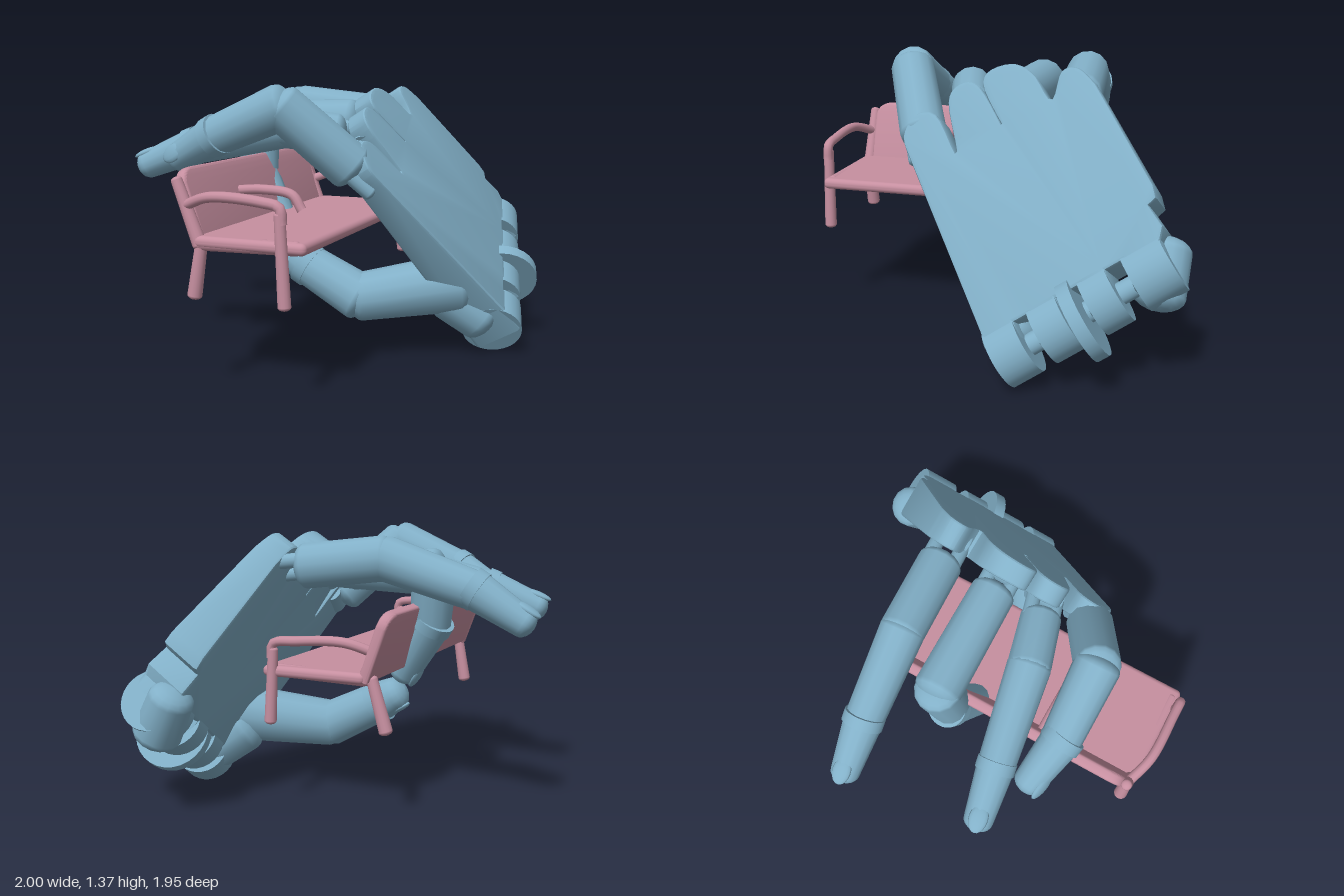
import * as THREE from 'three';
import { toCreasedNormals } from 'three/addons/utils/BufferGeometryUtils.js';
import { RoundedBoxGeometry } from 'three/addons/geometries/RoundedBoxGeometry.js';

const V = (x, y, z) => new THREE.Vector3(x, y, z);
const UP = V(0, 1, 0);
const blue = new THREE.MeshStandardMaterial({ color: 0x82b0c8 });
const pink = new THREE.MeshStandardMaterial({ color: 0xc68fa0 });
const NORMAL = V(0.852, 0.511, 0.111);   // outward direction of the back of the hand
const ACROSS = V(-0.21, 0.53, -0.82);    // from the index side to the little finger side

// Point on the slanted back of the hand, moved along its normal
function onPalm(z, y, offset = 0) {
  return V(1.03 - 0.6 * y - 0.13 * z, y, z).addScaledVector(NORMAL, offset);
}

function add(parent, name, geometry, material) {
  const mesh = new THREE.Mesh(geometry, material);
  mesh.name = name;
  parent.add(mesh);
  return mesh;
}

// Aligns a y-axis mesh from a towards b
function aim(mesh, a, b) {
  mesh.position.copy(a);
  mesh.quaternion.setFromUnitVectors(UP, b.clone().sub(a).normalize());
  return mesh;
}

// Tapered segment with domed ends whose centres are a and b
function segment(parent, name, a, b, ra, rb, material, dome = 0.6) {
  const length = a.distanceTo(b), points = [];
  for (let i = 0; i <= 5; i++) {
    const t = (i / 5) * Math.PI / 2;
    points.push(new THREE.Vector2(ra * Math.sin(t), -ra * dome * Math.cos(t)));
  }
  for (let i = 0; i <= 5; i++) {
    const t = (i / 5) * Math.PI / 2;
    points.push(new THREE.Vector2(rb * Math.cos(t), length + rb * dome * Math.sin(t)));
  }
  return aim(add(parent, name, new THREE.LatheGeometry(points, 14), material), a, b);
}

// Straight cylinder between two points
function rod(parent, name, a, b, r, material) {
  const geometry = new THREE.CylinderGeometry(r, r, a.distanceTo(b), 28);
  geometry.translate(0, a.distanceTo(b) / 2, 0);
  return aim(add(parent, name, geometry, material), a, b);
}

// Finger from a chain of joints, with a collar and a nail; a fork at the base holds the knuckle
function finger(parent, name, joints, radii, fork) {
  const group = new THREE.Group();
  group.name = name;
  parent.add(group);
  const p = joints.map(j => V(...j)), last = p.length - 1;
  if (fork) {
    const root = p[0].clone();
    p[0].addScaledVector(p[1].clone().sub(root).normalize(), 0.13);
    for (const side of [-1, 1]) {
      const shift = ACROSS.clone().multiplyScalar(side * 0.065);
      segment(group, 'forkProng', root.clone().add(shift), p[0].clone().add(shift), 0.036, 0.036, blue);
    }
  }
  for (let i = 0; i < last; i++) {
    const dome = i === last - 1 ? 0.75 : 0.5;
    segment(group, 'phalanx', p[i], p[i + 1], radii[i], radii[i + 1], blue, dome);
  }
  const prev = p[last - 1].clone().sub(p[last - 2]).normalize();
  const dir = p[last].clone().sub(p[last - 1]).normalize();
  const out = prev.clone().sub(dir);
  out.addScaledVector(dir, -out.dot(dir)).normalize();
  const joint = p[last - 1], r = radii[last - 1];
  rod(group, 'collar', joint.clone().addScaledVector(dir, -0.05), joint.clone().addScaledVector(dir, 0.005), r * 1.06, blue);
  const nail = add(group, 'nail', new THREE.SphereGeometry(1, 14, 10), blue);
  nail.quaternion.setFromRotationMatrix(new THREE.Matrix4().makeBasis(dir.clone().cross(out), dir, out));
  nail.scale.set(0.045, 0.07, 0.018);
  nail.position.copy(p[last]).addScaledVector(out, radii[last] * 0.86).addScaledVector(dir, -0.02);
}

function buildPalm(hand) {
  // Heel edge: distance along it and distance into the palm give z, y
  const heel = (s, inset) => [-0.24 - 0.84 * s + 0.54 * inset, 0.03 + 0.54 * s + 0.84 * inset];
  const lugs = [[0, 0.15], [0.22, 0.36], [0.47, 0.6], [0.68, 0.86]];
  const knuckles = [
    [0.38, 0.87], [0.44, 0.97], [0.39, 1.07], [0.28, 1.07], [0.15, 0.92],
    [0.23, 1.12], [0.21, 1.2], [0.13, 1.23], [0.05, 1.18], [-0.07, 1.04],
    [0.06, 1.2], [0.05, 1.28], [-0.07, 1.32], [-0.18, 1.28], [-0.28, 1.18],
    [-0.31, 1.3], [-0.39, 1.32], [-0.48, 1.26],
  ];
  const toShape = ([z, y]) => new THREE.Vector2(-z, y);

  // Outline runs over the knuckles, down the outer side and back along the toothed heel
  const outline = new THREE.SplineCurve(knuckles.map(toShape)).getPoints(70);
  for (const q of [[-0.79, 0.88], [-0.81, 0.83], [-0.78, 0.8], [-0.85, 0.73]]) outline.push(toShape(q));
  for (const [s0, s1] of [...lugs].reverse()) {
    outline.push(toShape(heel(s1, 0.22)), toShape(heel(s1, 0.1)), toShape(heel(s0, 0.1)), toShape(heel(s0, 0.22)));
  }
  outline.pop();
  let geometry = new THREE.ExtrudeGeometry(new THREE.Shape(outline.reverse()), {
    depth: 0.84, bevelThickness: 0.08, bevelSize: 0.015, bevelOffset: -0.015, bevelSegments: 2,
  });
  // Lay the slab on the slanted plane, thicker towards the heel
  const pos = geometry.attributes.position;
  for (let i = 0; i < pos.count; i++) {
    const z = -pos.getX(i), y = pos.getY(i);
    const along = (y * 0.84 + z * 0.54 + 0.13) / 1.17;
    const p = onPalm(z, y, (pos.getZ(i) - 0.92) * (0.29 - 0.17 * along));
    pos.setXYZ(i, p.x, p.y, p.z);
  }
  geometry = toCreasedNormals(geometry, 0.6);
  add(hand, 'palm', geometry, blue);

  // Rounded wrist hinge lugs, the pin through them and the large hinge disc
  const at = (s, inset, offset) => onPalm(...heel(s, inset), offset);
  for (const [s0, s1] of lugs) rod(hand, 'wristLug', at(s0, 0.16, -0.13), at(s1, 0.16, -0.13), 0.15, blue);
  rod(hand, 'wristPin', at(0.05, 0.14, -0.12), at(0.78, 0.14, -0.12), 0.05, blue);
  rod(hand, 'hingeDisc', at(0.385, 0.12, -0.1), at(0.445, 0.12, -0.1), 0.19, blue);

  // Padding under the outer corner of the heel
  segment(hand, 'heelPad', onPalm(-0.84, 0.67, -0.2), onPalm(-0.82, 0.5, -0.2), 0.11, 0.12, blue);
}

function buildHand() {
  const hand = new THREE.Group();
  hand.name = 'hand';
  buildPalm(hand);
  finger(hand, 'indexFinger', [[0.36, 0.88, 0.33], [0.0, 1.24, 0.53], [-0.36, 1.09, 0.54], [-0.56, 0.99, 0.5]], [0.115, 0.11, 0.095, 0.075], true);
  finger(hand, 'middleFinger', [[0.25, 1.08, 0.14], [-0.12, 1.13, 0.25], [-0.6, 1.02, 0.34], [-0.82, 0.93, 0.38]], [0.1, 0.105, 0.088, 0.07], true);
  finger(hand, 'ringFinger', [[0.24, 1.15, -0.08], [-0.42, 1.13, -0.06], [-0.39, 0.86, -0.02], [-0.23, 0.61, 0.04]], [0.11, 0.115, 0.1, 0.08], true);
  finger(hand, 'littleFinger', [[0.24, 1.15, -0.38], [-0.28, 1.21, -0.33], [-0.72, 1.07, -0.29], [-0.93, 0.94, -0.27]], [0.11, 0.108, 0.092, 0.07], true);
  finger(hand, 'thumb', [[0.66, 0.34, -0.12], [0.22, 0.275, 0.1], [-0.08, 0.43, 0.1], [-0.15, 0.47, 0.1]], [0.15, 0.122, 0.105, 0.09], false);
  segment(hand, 'thumbMount', V(0.77, 0.16, -0.2), V(0.63, 0.27, -0.15), 0.13, 0.14, blue);

  // Knuckle barrels in the gaps under the back of the hand
  for (const [z, y] of [[0.33, 0.98], [0.14, 1.13], [-0.07, 1.21], [-0.38, 1.21]]) {
    const c = onPalm(z, y, -0.09), w = ACROSS.clone().multiplyScalar(0.08);
    rod(hand, 'knucklePin', c.clone().sub(w), c.clone().add(w), 0.06, blue);
  }
  return hand;
}

function buildBench() {
  const bench = new THREE.Group();
  bench.name = 'bench';
  const seat = add(bench, 'seat', new RoundedBoxGeometry(0.54, 0.055, 1.44, 3, 0.025), pink);
  seat.position.set(0.02, 0.665, 0.21);

  // Slanted backrest with rounded upper corners
  const back = new THREE.Shape();
  back.moveTo(-0.69, 0);
  back.lineTo(0.69, 0);
  back.lineTo(0.69, 0.27);
  back.quadraticCurveTo(0.68, 0.34, 0.6, 0.345);
  back.lineTo(-0.6, 0.345);
  back.quadraticCurveTo(-0.68, 0.34, -0.69, 0.27);
  const backGeometry = new THREE.ExtrudeGeometry(back, {
    depth: 0.025, bevelThickness: 0.015, bevelSize: 0.015, bevelOffset: -0.015, bevelSegments: 3,
  });
  backGeometry.rotateY(Math.PI / 2);
  const backrest = add(bench, 'backrest', toCreasedNormals(backGeometry, 0.7), pink);
  backrest.position.set(-0.25, 0.645, 0.19);
  backrest.rotation.z = 0.34;

  const armrest = points => add(bench, 'armrest',
    new THREE.TubeGeometry(new THREE.CatmullRomCurve3(points), 24, 0.024, 10), pink);

  // Each end: legs, back post, armrest and seat rail
  for (const [z, shift, top] of [[0.94, 0, 0.87], [-0.5, 0.05, 0.83]]) {
    const inner = z - Math.sign(z) * 0.045;
    segment(bench, 'frontLeg', V(0.2 + shift, 0.42, z), V(0.18 + shift, top - 0.06, z), 0.03, 0.025, pink);
    segment(bench, 'backLeg', V(-0.26 - shift * 1.6, 0.42, inner), V(-0.22 - shift, 0.66, inner), 0.034, 0.028, pink);
    segment(bench, 'backPost', V(-0.23, 0.65, inner), V(-0.34, 0.93, inner), 0.033, 0.026, pink);
    segment(bench, 'seatRail', V(-0.23, 0.655, inner), V(0.24, 0.665, inner), 0.032, 0.032, pink);
    armrest([
      V(-0.3, top - 0.05, inner), V(-0.15, top, z), V(0.1, top - 0.01, z),
      V(0.18 + shift, top - 0.03, z), V(0.19 + shift, top - 0.1, z),
    ]);
  }
  // Short armrest dividing the seat
  armrest([V(-0.3, 0.83, 0.42), V(-0.15, 0.84, 0.42), V(0.0, 0.82, 0.42), V(0.05, 0.75, 0.42)]);
  return bench;
}

export function createModel() {
  const model = new THREE.Group();
  model.name = 'handHoldingBench';
  model.add(buildHand(), buildBench());
  return model;
}
